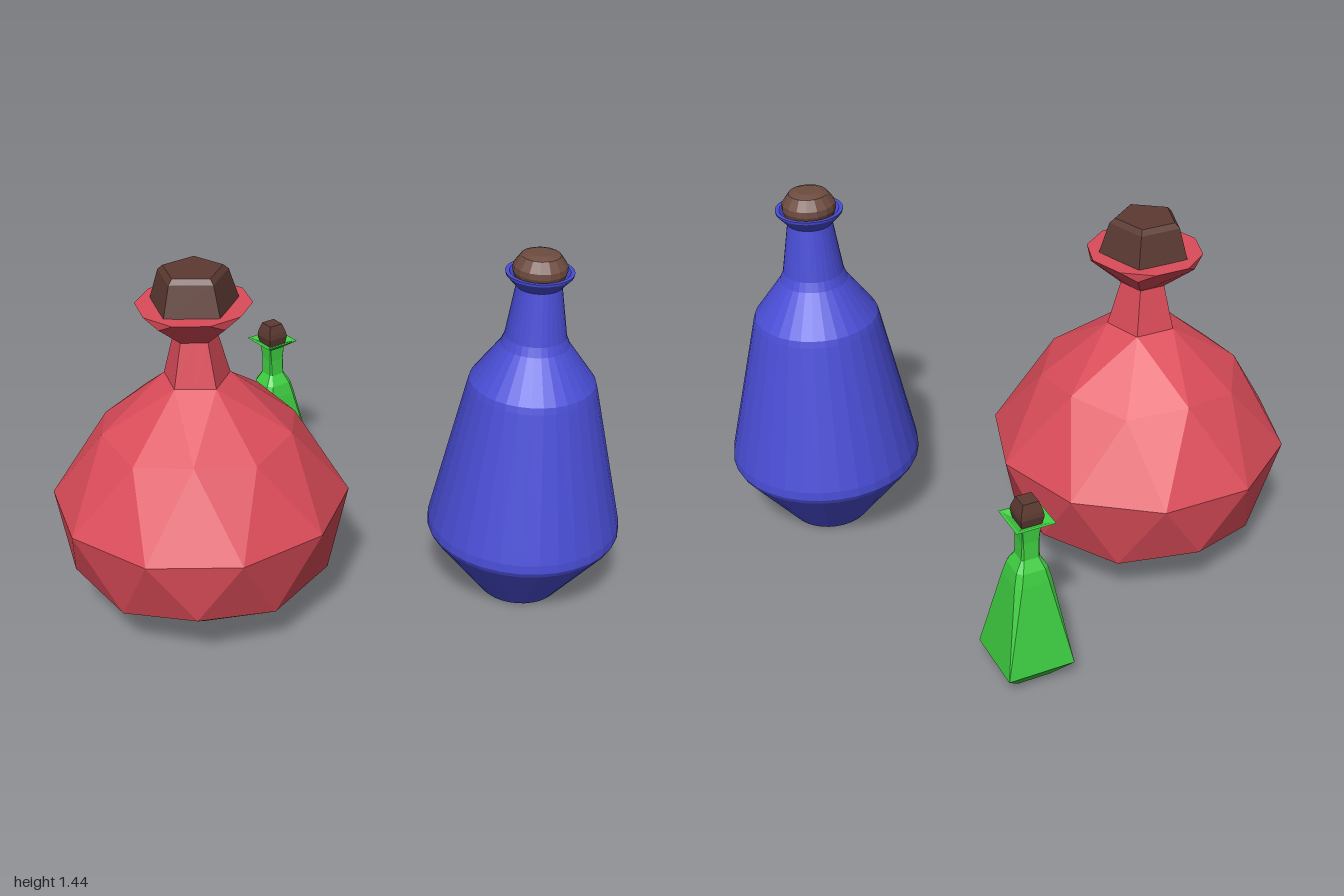
import * as THREE from 'three';
import { ConvexGeometry } from 'three/addons/geometries/ConvexGeometry.js';

const material = (color) => new THREE.MeshStandardMaterial({ color, flatShading: true, side: THREE.DoubleSide });
const RED = material(0xdb4c59), BLUE = material(0x4a4ed6), GREEN = material(0x3fd042);
const CORK = material(0x5c3a32), LIGHT_CORK = material(0x6e4c40);

function part(parent, name, geometry, mat) {
  const mesh = new THREE.Mesh(geometry, mat);
  mesh.name = name;
  parent.add(mesh);
}

function bottle(name, x, z) {
  const group = new THREE.Group();
  group.name = name;
  group.position.set(x, 0, z);
  return group;
}

// n points around y, starting at a given angle in degrees
function ring(n, r, y, start = 0) {
  return Array.from({ length: n }, (_, i) => {
    const a = THREE.MathUtils.degToRad(start) + (i * 2 * Math.PI) / n;
    return new THREE.Vector3(r * Math.cos(a), y, r * Math.sin(a));
  });
}

// two pentagon rings interleaved into ten points
function starRing(rA, yA, rB, yB) {
  const a = ring(5, rA, yA), b = ring(5, rB, yB, 36);
  return a.flatMap((p, i) => [p, b[i]]);
}

// square cross-section with cut corners
function squareRing(h, y, cut) {
  const c = h - cut;
  return [[h, -c], [h, c], [c, h], [-c, h], [-h, c], [-h, -c], [-c, -h], [c, -h]]
    .map(([x, z]) => new THREE.Vector3(x, y, z));
}

// skin over rings of equal point count, listed along the outward surface
function loft(rings) {
  const pos = [];
  for (let k = 0; k < rings.length - 1; k++) {
    const a = rings[k], b = rings[k + 1], n = a.length;
    for (let i = 0; i < n; i++) {
      const j = (i + 1) % n;
      for (const p of [a[i], b[i], a[j], a[j], b[i], b[j]]) pos.push(p.x, p.y, p.z);
    }
  }
  const geometry = new THREE.BufferGeometry();
  geometry.setAttribute('position', new THREE.Float32BufferAttribute(pos, 3));
  geometry.computeVertexNormals();
  return geometry;
}

function lathe(points, sides) {
  const geometry = new THREE.LatheGeometry(points.map(([r, y]) => new THREE.Vector2(r, y)), sides).toNonIndexed();
  geometry.computeVertexNormals();
  return geometry;
}

function createRedBottle() {
  const g = bottle('roundRedBottle', -0.18, 0.43);
  // faceted globe with a narrowed top and flat foot
  part(g, 'roundBody', new ConvexGeometry([
    ...ring(5, 0.18, 0, 36),
    ...starRing(0.482, 0.192, 0.507, 0.236),
    ...ring(10, 0.567, 0.49, 18),
    ...starRing(0.38, 0.77, 0.37, 0.8),
    ...ring(5, 0.13, 0.98),
  ]), RED);
  // five-sided neck opening into a ten-sided lip
  const k = Math.cos(Math.PI / 5);
  part(g, 'neckAndLip', loft([
    starRing(0.13, 0.98, 0.13 * k, 0.98),
    starRing(0.085, 1.15, 0.085 * k, 1.15),
    starRing(0.2, 1.245, 0.13, 1.2),
    ring(10, 0.215, 1.28, 18),
    ring(10, 0, 1.275, 18),
  ]), RED);
  part(g, 'stopper', loft([
    ring(5, 0.172, 1.275), ring(5, 0.135, 1.395), ring(5, 0.115, 1.413), ring(5, 0, 1.413),
  ]), CORK);
  return g;
}

function createBlueBottle() {
  const g = bottle('tallBlueBottle', 0.508, -0.625);
  part(g, 'glass', lathe([
    [0, 0.005], [0.157, 0.005], [0.365, 0.27], [0.375, 0.29], [0.373, 0.325],
    [0.245, 0.9], [0.238, 0.925], [0.13, 1.075], [0.116, 1.11], [0.085, 1.31],
    [0.125, 1.355], [0.127, 1.365], [0.112, 1.365], [0.09, 1.335],
  ], 32), BLUE);
  part(g, 'stopper', lathe([
    [0.088, 1.33], [0.102, 1.37], [0.1, 1.392], [0.073, 1.43], [0.045, 1.44], [0, 1.44],
  ], 16), LIGHT_CORK);
  return g;
}

function createGreenBottle() {
  const g = bottle('smallGreenBottle', -0.762, -0.327);
  // square body whose cut corners widen towards the shoulder
  part(g, 'glass', loft([
    [0, 0.01, 0], [0.065, 0.01, 0], [0.129, 0.09, 0.001], [0.072, 0.44, 0.02],
    [0.06, 0.49, 0.018], [0.036, 0.53, 0.008], [0.033, 0.6, 0.004], [0.036, 0.655, 0.002],
    [0.075, 0.685, 0.001], [0.066, 0.685, 0.001], [0.035, 0.67, 0],
  ].map((r) => squareRing(...r))), GREEN);
  part(g, 'stopper', loft([
    [0.036, 0.66, 0], [0.045, 0.705, 0], [0.042, 0.725, 0], [0.03, 0.762, 0], [0, 0.762, 0],
  ].map((r) => squareRing(...r))), CORK);
  return g;
}

export function createModel() {
  const model = new THREE.Group();
  model.name = 'potionBottles';
  model.add(createRedBottle(), createBlueBottle(), createGreenBottle());
  return model;
}
